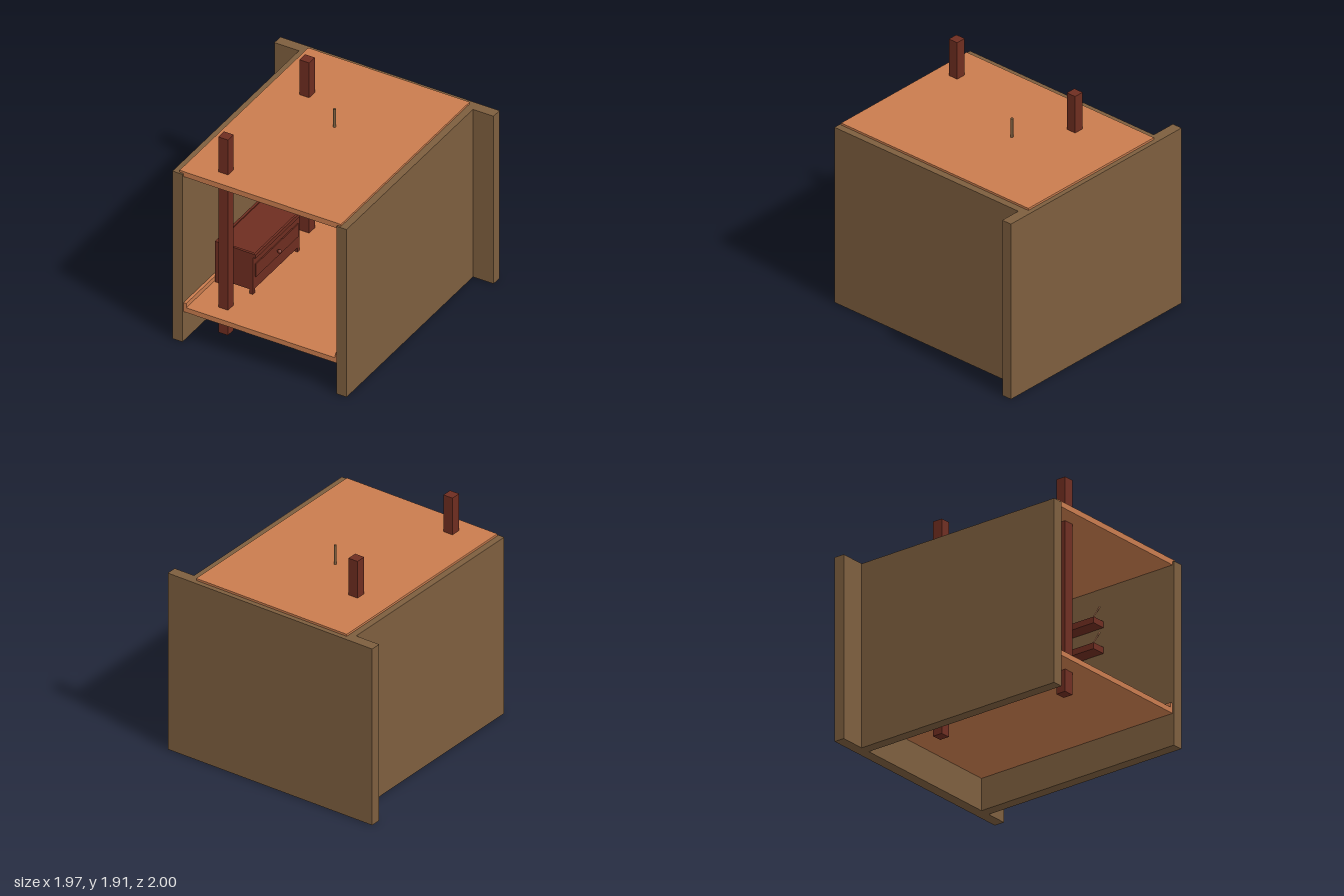
import * as THREE from 'three';

const material = (color) => new THREE.MeshStandardMaterial({ color, side: THREE.DoubleSide });

export function createModel() {
  const model = new THREE.Group();
  const wall = material(0x7d5e3e), board = material(0xc97c4e), dark = material(0x6e2d20);

  const add = (parent, name, geometry, mat) => {
    const mesh = new THREE.Mesh(geometry, mat);
    mesh.name = name;
    parent.add(mesh);
    return mesh;
  };
  // Box given by its lower and upper limits on each axis
  const box = (parent, name, mat, x0, x1, y0, y1, z0, z1) => {
    const mesh = add(parent, name, new THREE.BoxGeometry(x1 - x0, y1 - y0, z1 - z0), mat);
    mesh.position.set((x0 + x1) / 2, (y0 + y1) / 2, (z0 + z1) / 2);
    return mesh;
  };
  // Thin round bar between two points
  const bar = (parent, name, mat, a, b, radius) => {
    const path = new THREE.LineCurve3(new THREE.Vector3(...a), new THREE.Vector3(...b));
    return add(parent, name, new THREE.TubeGeometry(path, 1, radius, 8), mat);
  };

  // Room shell
  box(model, 'backWall', wall, -0.985, 0.985, 0, 1.57, -1, -0.91);
  box(model, 'rightWall', wall, -0.765, -0.675, 0, 1.57, -0.91, 1);
  box(model, 'leftWall', wall, 0.71, 0.8, 0, 1.57, -0.91, 1);
  box(model, 'ceiling', board, -0.71, 0.74, 1.54, 1.588, -0.96, 0.985);
  box(model, 'floor', board, -0.71, 0.74, 0.275, 0.32, -0.96, 0.985);

  // Skirting boards
  box(model, 'rightSkirting', board, -0.675, -0.65, 0.32, 0.36, -0.91, 0.985);
  box(model, 'leftSkirting', board, 0.685, 0.71, 0.32, 0.36, -0.91, 0.985);
  box(model, 'backSkirting', board, -0.65, 0.685, 0.32, 0.36, -0.91, -0.885);

  // Posts running through floor and ceiling
  for (const z of [0.807, -0.418]) {
    box(model, 'post', dark, -0.442, -0.355, 0.085, 1.915, z - 0.043, z + 0.043);
  }

  // Low cabinet facing +z, standing on y = 0, centred on x, back at z = 0
  const cabinet = (name, knob) => {
    const g = new THREE.Group();
    const w = 0.352, d = 0.34;
    g.name = name;
    box(g, 'body', dark, -w, w, 0.04, 0.345, 0, d);
    box(g, 'top', dark, -w, w, 0.345, 0.371, 0, d + 0.025);
    // Raised rim round the top
    box(g, 'rim', dark, -w, w, 0.371, 0.38, 0, 0.02);
    box(g, 'rim', dark, -w, w, 0.371, 0.38, d + 0.005, d + 0.025);
    for (const s of [-1, 1]) {
      box(g, 'rim', dark, s * w - (s > 0 ? 0.02 : 0), s * w + (s < 0 ? 0.02 : 0), 0.371, 0.38, 0.02, d + 0.005);
      for (const z of [0, d - 0.03]) {
        const x = s * (w - 0.015);
        box(g, 'leg', dark, x - 0.015, x + 0.015, 0, 0.04, z, z + 0.03);
      }
    }
    box(g, 'drawerFront', dark, -0.32, 0.32, 0.15, 0.27, d, d + 0.01);
    if (knob) {
      add(g, 'knobStem', new THREE.CylinderGeometry(0.007, 0.007, 0.02, 12).rotateX(Math.PI / 2), dark)
        .position.set(0, 0.207, d + 0.017);
      add(g, 'knob', new THREE.SphereGeometry(0.017, 16, 12), dark).position.set(0, 0.207, d + 0.031);
    }
    model.add(g);
    return g;
  };

  const sideCabinet = cabinet('sideCabinet', true);
  sideCabinet.rotation.y = Math.PI / 2;
  sideCabinet.position.set(-0.64, 0.32, 0.215);

  const backCabinet = cabinet('backCabinet', false);
  backCabinet.position.set(0.293, 0.32, -0.88);
  box(backCabinet, 'middleLeg', dark, 0.047, 0.077, 0, 0.04, 0.31, 0.34);

  // Wall shelves with slanted stays
  for (const y of [0.985, 1.205]) {
    const shelf = new THREE.Group();
    shelf.name = 'wallShelf';
    box(shelf, 'shelfBoard', dark, 0.59, 0.715, y, y + 0.053, -0.4, 0.3);
    for (const z of [-0.36, 0.26]) {
      bar(shelf, 'stay', board, [0.615, y + 0.045, z], [0.715, y + 0.195, z], 0.005);
    }
    model.add(shelf);
  }

  // Hanging lamp
  const lamp = new THREE.Group();
  lamp.name = 'lamp';
  lamp.position.set(0.015, 0, -0.137);
  add(lamp, 'rod', new THREE.CylinderGeometry(0.011, 0.011, 0.29, 16), wall).position.y = 1.61;
  add(lamp, 'shade', new THREE.CylinderGeometry(0.063, 0.152, 0.112, 32, 1, true), wall).position.y = 1.418;
  add(lamp, 'shadeCap', new THREE.CircleGeometry(0.063, 32).rotateX(-Math.PI / 2), wall).position.y = 1.474;
  model.add(lamp);

  return model;
}
